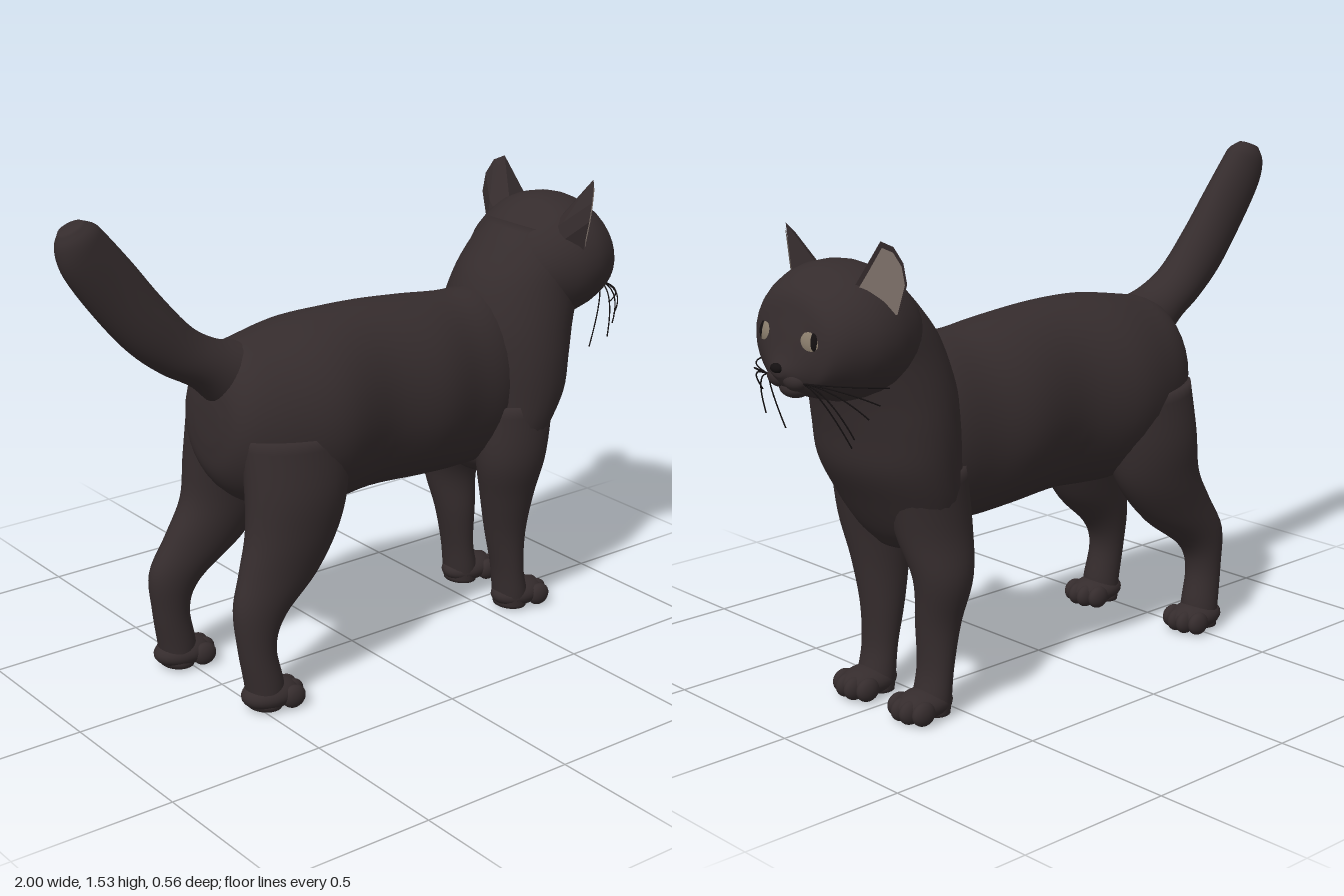
import * as THREE from 'three';
import { ConvexGeometry } from 'three/addons/geometries/ConvexGeometry.js';

const mat = (name, color, side = THREE.FrontSide) => {
  const m = new THREE.MeshStandardMaterial({ color, side });
  m.name = name;
  return m;
};

// Smooth skin over rings. Row: [x0, y0, x1, y1, zCentre, zRadius], where
// (x0,y0)-(x1,y1) is the ring's diameter seen from the side.
function loft(rows, steps = 5, sides = 32) {
  const a = new THREE.CatmullRomCurve3(rows.map(r => new THREE.Vector3(r[0], r[1], r[4])), false, 'catmullrom');
  const b = new THREE.CatmullRomCurve3(rows.map(r => new THREE.Vector3(r[2], r[3], r[5])), false, 'catmullrom');
  const n = (rows.length - 1) * steps, pos = [], idx = [];
  for (let i = 0; i <= n; i++) {
    const p = a.getPoint(i / n), q = b.getPoint(i / n);
    for (let j = 0; j < sides; j++) {
      const t = j / sides * Math.PI * 2, k = (1 + Math.cos(t)) / 2;
      pos.push(p.x + (q.x - p.x) * k, p.y + (q.y - p.y) * k, p.z + q.z * Math.sin(t));
      if (i < n) {
        const c = i * sides + j, d = i * sides + (j + 1) % sides;
        idx.push(c, d, c + sides, d, d + sides, c + sides);
      }
    }
  }
  // End caps
  for (const [i, flip] of [[0, true], [n, false]]) {
    const p = a.getPoint(i / n), q = b.getPoint(i / n), centre = pos.length / 3;
    pos.push((p.x + q.x) / 2, (p.y + q.y) / 2, p.z);
    for (let j = 0; j < sides; j++) {
      const c = i * sides + j, d = i * sides + (j + 1) % sides;
      idx.push(centre, flip ? d : c, flip ? c : d);
    }
  }
  const g = new THREE.BufferGeometry();
  g.setAttribute('position', new THREE.Float32BufferAttribute(pos, 3));
  g.setIndex(idx);
  g.computeVertexNormals();
  return g;
}

export function createModel() {
  const fur = mat('fur', 0x352c2d);
  const skin = mat('ear skin', 0x857870, THREE.DoubleSide);
  const iris = mat('iris', 0x8a7d6c);
  const black = mat('black', 0x141011);
  const cat = new THREE.Group();
  cat.name = 'cat';

  const add = (name, geo, material = fur, parent = cat) => {
    const m = new THREE.Mesh(geo, material);
    m.name = name;
    parent.add(m);
    return m;
  };
  const ball = (name, material, x, y, z, rx, ry, rz, parent = cat) => {
    const m = add(name, new THREE.SphereGeometry(1, 24, 16), material, parent);
    m.position.set(x, y, z);
    m.scale.set(rx, ry, rz);
    return m;
  };

  // Trunk, rump to shoulders
  add('body', loft([
    [-0.535, 0.80, -0.53, 0.92, 0, 0.06], [-0.52, 0.70, -0.51, 1.01, 0, 0.14],
    [-0.46, 0.62, -0.46, 1.075, 0, 0.195], [-0.35, 0.56, -0.36, 1.10, 0, 0.24],
    [-0.20, 0.53, -0.20, 1.125, 0, 0.265], [0, 0.54, 0, 1.13, 0, 0.225],
    [0.20, 0.53, 0.20, 1.115, 0, 0.235], [0.35, 0.52, 0.35, 1.10, 0, 0.205],
    [0.50, 0.53, 0.50, 1.09, 0, 0.18], [0.60, 0.62, 0.60, 1.0, 0, 0.10]]));

  // Chest rising into the neck
  add('chestAndNeck', loft([
    [0.61, 0.49, 0.46, 0.49, 0, 0.10], [0.66, 0.55, 0.42, 0.55, 0, 0.19],
    [0.72, 0.65, 0.41, 0.65, 0, 0.225], [0.78, 0.76, 0.41, 0.76, 0, 0.24],
    [0.80, 0.87, 0.41, 0.87, 0, 0.24], [0.82, 0.96, 0.42, 0.99, 0, 0.228],
    [0.85, 1.05, 0.465, 1.12, 0, 0.21], [0.87, 1.12, 0.53, 1.21, 0, 0.20],
    [0.86, 1.20, 0.60, 1.29, 0, 0.17]]));

  add('tail', loft([
    [-0.40, 1.085, -0.50, 0.90, 0, 0.10], [-0.49, 1.11, -0.58, 0.98, 0, 0.085],
    [-0.58, 1.165, -0.68, 1.04, 0, 0.075], [-0.68, 1.275, -0.78, 1.12, 0, 0.07],
    [-0.77, 1.39, -0.88, 1.235, 0, 0.062], [-0.85, 1.485, -0.975, 1.37, 0, 0.058],
    [-0.88, 1.515, -1.0, 1.45, 0, 0.052], [-0.92, 1.53, -0.99, 1.50, 0, 0.03]]));

  // Head and muzzle
  add('head', loft([
    [0.56, 1.06, 0.54, 1.18, 0, 0.09], [0.62, 0.99, 0.60, 1.28, 0, 0.18],
    [0.72, 0.95, 0.70, 1.345, 0, 0.232], [0.80, 0.96, 0.79, 1.355, 0, 0.24],
    [0.87, 0.98, 0.865, 1.335, 0, 0.215], [0.92, 1.00, 0.925, 1.285, 0, 0.175],
    [0.945, 1.01, 0.95, 1.21, 0, 0.12], [0.965, 1.03, 0.97, 1.13, 0, 0.07],
    [0.985, 1.06, 0.985, 1.09, 0, 0.025]]));
  ball('chin', fur, 0.925, 1.02, 0, 0.04, 0.03, 0.05);
  ball('nose', black, 0.985, 1.083, 0, 0.015, 0.014, 0.022);

  const outline = [[-0.04, -0.10], [-0.068, 0], [-0.06, 0.06], [-0.035, 0.105],
    [0, 0.12], [0.05, 0.035], [0.09, -0.03], [0.03, -0.10]];
  for (const s of [1, -1]) {
    const side = s > 0 ? 'left' : 'right';

    // Ear: pointed shell with a bare inner face
    const ear = new THREE.Group();
    ear.name = side + 'Ear';
    ear.position.set(0.772, 1.315, s * 0.2);
    ear.lookAt(0.772 + 0.75, 1.315 - 0.12, s * 0.8);
    cat.add(ear);
    const front = outline.map(([x, y]) => new THREE.Vector3(s * x, y, 0));
    const back = [[-0.03, -0.10, -0.09], [-0.03, -0.02, -0.075], [0.04, -0.03, -0.085],
      [0.03, -0.10, -0.13], [-0.015, 0.09, -0.02]].map(([x, y, z]) => new THREE.Vector3(s * x, y, z));
    add('earShell', new ConvexGeometry([...front, ...back]), fur, ear);
    const inner = new THREE.Shape(outline.map(([x, y]) => new THREE.Vector2(s * (x * 0.86 - 0.004), y * 0.86)));
    add('innerEar', new THREE.ShapeGeometry(inner), skin, ear).position.z = 0.004;

    // Eye with a tall pupil
    const eye = new THREE.Group();
    eye.name = side + 'Eye';
    eye.position.set(0.925, 1.165, s * 0.108);
    eye.lookAt(0.925 + 0.9, 1.165 + 0.2, s * (0.108 + 0.4));
    cat.add(eye);
    ball('eyeball', iris, 0, 0, 0, 0.054, 0.045, 0.024, eye);
    ball('pupil', black, 0, 0, 0.006, 0.017, 0.034, 0.022, eye);

    // Whisker pad and drooping whiskers
    ball('whiskerPad', fur, 0.945, 1.05, s * 0.035, 0.035, 0.032, 0.045);
    for (const [x, y, z] of [[0.81, 1.045, 0.27], [0.84, 1.0, 0.265], [0.86, 0.96, 0.24],
      [0.88, 0.90, 0.20], [0.85, 0.86, 0.15]]) {
      const path = new THREE.QuadraticBezierCurve3(
        new THREE.Vector3(0.955, 1.045, s * 0.055),
        new THREE.Vector3(0.95, 1.06, s * z * 0.8),
        new THREE.Vector3(x, y, s * z));
      add('whisker', new THREE.TubeGeometry(path, 12, 0.0022, 5), black);
    }
  }

  // Paw: low pad with four toes
  const paw = (name, x, z) => {
    const g = new THREE.Group();
    g.name = name;
    g.position.set(x, 0, z);
    cat.add(g);
    ball('pad', fur, 0, 0.045, 0, 0.095, 0.045, 0.07, g);
    for (let i = 0; i < 4; i++) {
      const k = i - 1.5;
      ball('toe', fur, 0.075 - Math.abs(k) * 0.018, 0.038, k * 0.037, 0.04, 0.036, 0.024, g);
    }
  };

  // Front legs: [name, side, z of the foot]
  for (const [name, s, z] of [['frontLeftLeg', 1, 0.10], ['frontRightLeg', -1, -0.155]]) {
    add(name, loft([
      [0.43, 0.74, 0.70, 0.74, s * 0.12, 0.10], [0.42, 0.56, 0.665, 0.56, s * 0.13, 0.10],
      [0.45, 0.42, 0.635, 0.42, z + s * 0.015, 0.083], [0.485, 0.28, 0.617, 0.28, z, 0.07],
      [0.515, 0.15, 0.612, 0.15, z, 0.063], [0.525, 0.06, 0.63, 0.06, z, 0.064],
      [0.53, 0.01, 0.63, 0.01, z, 0.06]]));
    paw(name.replace('Leg', 'Paw'), 0.61, z);
  }

  // Hind legs: the right foot stands further back
  for (const [name, s, d] of [['hindLeftLeg', 1, 0], ['hindRightLeg', -1, -0.055]]) {
    add(name, loft([
      [-0.50, 0.84, -0.14, 0.82, s * 0.14, 0.11], [-0.50, 0.68, -0.16, 0.66, s * 0.165, 0.115],
      [-0.51, 0.55, -0.20, 0.53, s * 0.175, 0.10], [-0.54 + d / 2, 0.44, -0.28 + d / 2, 0.40, s * 0.18, 0.08],
      [-0.57 + d, 0.33, -0.40 + d, 0.29, s * 0.187, 0.063], [-0.56 + d, 0.20, -0.44 + d, 0.20, s * 0.193, 0.055],
      [-0.54 + d, 0.08, -0.42 + d, 0.08, s * 0.198, 0.06], [-0.53 + d, 0.01, -0.43 + d, 0.01, s * 0.198, 0.06]]));
    paw(name.replace('Leg', 'Paw'), -0.46 + d, s * 0.2);
  }
  return cat;
}
